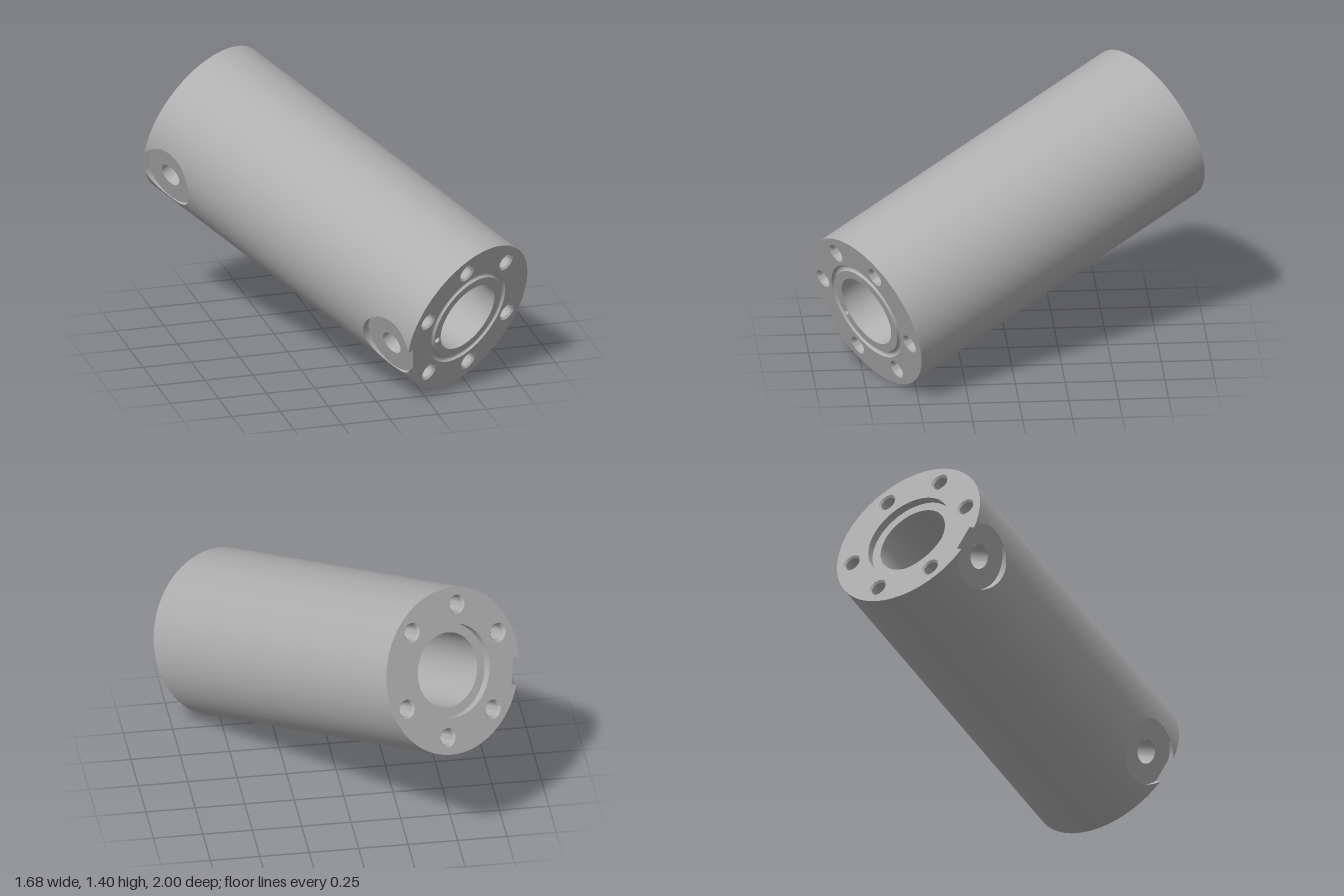
import * as THREE from 'three';
import { toCreasedNormals } from 'three/addons/utils/BufferGeometryUtils.js';

const R = 0.423, H = 0.933, BORE = 0.19;               // barrel radius, half length, bore
const PORT_Z = 0.783, SPOT = 0.165, FLOOR = 0.385;     // port position, spot-face radius and level
const PORT_HOLE = 0.062, RECESS = 0.238, RECESS_DEPTH = 0.04;
const GAP = H - PORT_Z;
const A0 = Math.acos(GAP / SPOT);                      // where the spot face breaks through the end

const steel = new THREE.MeshStandardMaterial({ color: 0xb0b0b0, side: THREE.DoubleSide });
steel.name = 'steel grey';

const span = (a, b, n) => Array.from({ length: n + 1 }, (_, i) => a + (b - a) * i / n);

function part(name, geo, parent) {
  const m = new THREE.Mesh(geo, steel);
  m.name = name;
  parent.add(m);
  return m;
}

// Ruled surface through pairs of points; radial gives smooth cylinder normals
function strip(pairs, radial) {
  const pos = [], idx = [];
  pairs.forEach(([a, b], i) => {
    pos.push(...a, ...b);
    if (i) {
      const k = 2 * i;
      idx.push(k - 2, k, k - 1, k, k + 1, k - 1);
    }
  });
  const g = new THREE.BufferGeometry();
  g.setAttribute('position', new THREE.Float32BufferAttribute(pos, 3));
  g.setIndex(idx);
  g.computeVertexNormals();
  if (radial) {
    const p = g.attributes.position;
    for (let i = 0; i < p.count; i++) g.attributes.normal.setXYZ(i, p.getX(i) / R, p.getY(i) / R, 0);
  }
  return g;
}

// Surface of revolution around z from [radius, z] points
function turned(points, segments) {
  const g = new THREE.LatheGeometry(points.map(p => new THREE.Vector2(...p)), segments);
  g.rotateX(Math.PI / 2);
  return toCreasedNormals(g, 0.5);
}

const circlePath = (x, y, r) => new THREE.Path().absarc(x, y, r, 0, Math.PI * 2, true);

// Samples across the spot face, and around the rest of the barrel
const alphas = [...span(-Math.PI / 2, -A0, 14), ...span(-A0, A0, 10).slice(1), ...span(A0, Math.PI / 2, 14).slice(1)];
const phiMax = Math.asin(SPOT / R);
const restPhis = span(phiMax, Math.PI * 2 - phiMax, 96);
const onBarrel = (phi, z) => [R * Math.cos(phi), R * Math.sin(phi), z];
const phiOf = a => Math.asin(SPOT * Math.sin(a) / R);

// Outer wall with the spot faces cut out of it
function buildBarrel(parent) {
  part('barrelWall', strip(restPhis.map(p => [onBarrel(p, -H), onBarrel(p, H)]), true), parent);
  part('barrelPortSide', strip(alphas.map(a => {
    const z = PORT_Z - SPOT * Math.cos(a);
    return [onBarrel(phiOf(a), -z), onBarrel(phiOf(a), z)];
  }), true), parent);
  part('bore', turned([[BORE, -H + RECESS_DEPTH], [BORE, H]], 96), parent);
}

// Side port: sunken flat with its wall and a blind drilled hole
function buildPort(parent) {
  const g = new THREE.Group();
  g.name = 'sidePort';
  parent.add(g);

  const rim = span(A0, Math.PI * 2 - A0, 60);
  part('spotFaceWall', strip(rim.map(a => {
    const s = SPOT * Math.sin(a), z = PORT_Z + SPOT * Math.cos(a);
    return [[FLOOR, s, z], [Math.sqrt(R * R - s * s), s, z]];
  })), g);

  const floor = new THREE.Shape(rim.map(a => new THREE.Vector2(SPOT * Math.sin(a), SPOT * Math.cos(a))));
  floor.holes.push(circlePath(0, 0, PORT_HOLE));
  // shape axes (x, y, z) become (y, z, x)
  const toSide = new THREE.Matrix4().makeBasis(
    new THREE.Vector3(0, 1, 0), new THREE.Vector3(0, 0, 1), new THREE.Vector3(1, 0, 0));
  toSide.setPosition(FLOOR, 0, PORT_Z);
  part('spotFaceFloor', new THREE.ShapeGeometry(floor, 40).applyMatrix4(toSide), g);
  part('portHole', turned([[0, -0.17], [PORT_HOLE, -0.17], [PORT_HOLE, 0]], 40).applyMatrix4(toSide), g);

  // Slivers of outer wall left between the spot face and the end
  for (const side of [-1, 1]) {
    const list = span(side * A0, side * Math.PI / 2, 14);
    part('portEdge', strip(list.map(a =>
      [onBarrel(phiOf(a), PORT_Z + SPOT * Math.cos(a)), onBarrel(phiOf(a), H)]), true), g);
  }
}

// End face with six chamfered bolt holes and the notch left by the port
function buildEnd(parent, innerRadius) {
  const h = SPOT * Math.sin(A0);
  const outline = restPhis.map(p => new THREE.Vector2(R * Math.cos(p), R * Math.sin(p)));
  const edge = a => new THREE.Vector2(R * Math.cos(phiOf(a)), R * Math.sin(phiOf(a)));
  outline.push(...span(-Math.PI / 2, -A0, 14).slice(1).map(edge));
  outline.push(new THREE.Vector2(FLOOR, -h), new THREE.Vector2(FLOOR, h));
  outline.push(...span(A0, Math.PI / 2, 14).slice(0, -1).map(edge));

  const face = new THREE.Shape(outline);
  face.holes.push(circlePath(0, 0, innerRadius));
  for (const deg of [35, 90, 145, 215, 270, 325]) {
    const t = deg * Math.PI / 180, x = 0.336 * Math.cos(t), y = 0.336 * Math.sin(t);
    face.holes.push(circlePath(x, y, 0.049));
    part('boltHole', turned([[0, -0.25], [0.04, -0.25], [0.04, -0.01], [0.049, 0]], 32), parent)
      .position.set(x, y, H);
  }
  part('endFace', new THREE.ShapeGeometry(face, 48), parent).position.z = H;
}

// Flat ring around the bore, optionally drilled
function ring(outer, drilled) {
  const s = new THREE.Shape().absarc(0, 0, outer, 0, Math.PI * 2, false);
  s.holes.push(circlePath(0, 0, BORE));
  if (drilled) s.holes.push(circlePath(0.213, 0, 0.017));
  return new THREE.ShapeGeometry(s, 48);
}

export function createModel() {
  const model = new THREE.Group();
  model.name = 'cylinderBarrel';
  buildBarrel(model);

  // Front end: round seal groove and a small drilled passage
  const front = new THREE.Group();
  front.name = 'frontEnd';
  buildEnd(front, 0.267);
  buildPort(front);
  const groove = span(0, Math.PI, 10).map(a => [0.251 + 0.016 * Math.cos(a), -0.016 * Math.sin(a)]);
  part('sealGroove', turned(groove, 96), front).position.z = H;
  part('boreRing', ring(0.235, true), front).position.z = H;
  part('passage', turned([[0, -0.1], [0.017, -0.1], [0.017, 0]], 20), front).position.set(0.213, 0, H);

  // Back end: shallow counterbore
  const back = new THREE.Group();
  back.name = 'backEnd';
  back.rotation.x = Math.PI;
  buildEnd(back, RECESS);
  buildPort(back);
  part('counterboreWall', turned([[RECESS, -RECESS_DEPTH], [RECESS, 0]], 96), back).position.z = H;
  part('counterboreFloor', ring(RECESS, false), back).position.z = H - RECESS_DEPTH;
  model.add(front, back);

  // Tilt: local z along the barrel, local x towards the ports
  const axis = new THREE.Vector3(0.95, -0.6, 1.49).normalize();
  const u = new THREE.Vector3(0, 1, 0).cross(axis).normalize();
  const port = u.applyAxisAngle(axis, 200.5 * Math.PI / 180);
  const other = axis.clone().cross(port);
  model.quaternion.setFromRotationMatrix(new THREE.Matrix4().makeBasis(port, other, axis));
  model.position.y = 0.4 + 0.3;
  return model;
}
